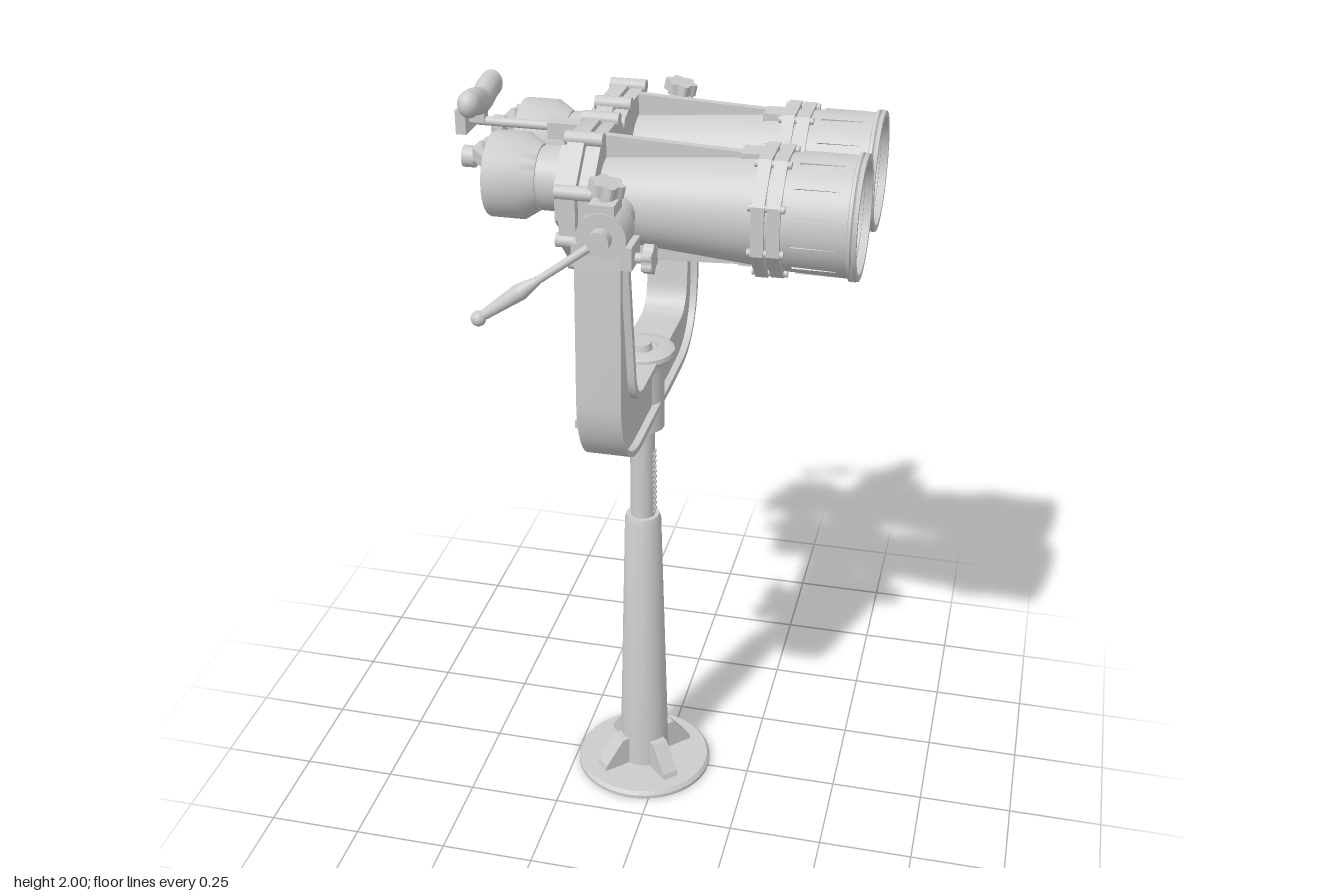
import * as THREE from 'three';
import { toCreasedNormals } from 'three/addons/utils/BufferGeometryUtils.js';

const mat = new THREE.MeshStandardMaterial({ color: 0xcccccc });
const CX = -0.055, AXIS_Y = 1.79, TRUN_X = -0.045;

function add(parent, name, geo, x = 0, y = 0, z = 0) {
  const m = new THREE.Mesh(geo, mat);
  m.name = name;
  m.position.set(x, y, z);
  parent.add(m);
  return m;
}
const box = (w, h, d) => new THREE.BoxGeometry(w, h, d);
const cyl = (r0, r1, h, n = 20) => new THREE.CylinderGeometry(r1, r0, h, n);
const cylX = (r, h, n = 20) => cyl(r, r, h, n).rotateZ(-Math.PI / 2);
const cylZ = (r, h, n = 20) => cyl(r, r, h, n).rotateX(Math.PI / 2);

// Turned part from [along, radius] pairs, standing up or lying along +x
function turned(pairs, n = 40) {
  const g = new THREE.LatheGeometry(pairs.map(([a, r]) => new THREE.Vector2(r, a)), n);
  return toCreasedNormals(g, 0.6);
}
const turnedX = (pairs, n) => turned(pairs, n).rotateZ(-Math.PI / 2);

// Shape drawn in the (z, y) plane, extruded from x0 to x1
function plateX(shape, x0, x1) {
  return toCreasedNormals(new THREE.ExtrudeGeometry(shape, { depth: x1 - x0, bevelEnabled: false, curveSegments: 12 })
    .rotateY(Math.PI / 2).translate(x0, 0, 0), 0.6);
}
const poly = (pts) => new THREE.Shape(pts.map(([a, b]) => new THREE.Vector2(a, b)));

// Rod between two points
function rod(parent, name, a, b, r0, r1) {
  const d = b.clone().sub(a);
  const m = add(parent, name, cyl(r0, r1, d.length(), 16));
  m.position.copy(a).addScaledVector(d, 0.5);
  m.quaternion.setFromUnitVectors(new THREE.Vector3(0, 1, 0), d.normalize());
  return m;
}

// Lobed hand knob, axis along y
function knobGeometry(r, h) {
  const s = new THREE.Shape();
  for (let i = 0; i <= 48; i++) {
    const a = (i / 48) * Math.PI * 2, q = r * (0.88 + 0.12 * Math.cos(6 * a));
    s[i ? 'lineTo' : 'moveTo'](q * Math.cos(a), q * Math.sin(a));
  }
  const g = new THREE.ExtrudeGeometry(s, { depth: h, bevelEnabled: false });
  return toCreasedNormals(g.translate(0, 0, -h / 2).rotateX(-Math.PI / 2), 0.7);
}

// Outline of the U-shaped fork, inset by d
function forkOutline(d, Type = THREE.Shape) {
  const s = new Type(), lo = 1.17 + d, hi = 1.32 - d, top = 1.745 - d;
  s.moveTo(-0.22, lo);
  s.lineTo(0.22, lo);
  s.bezierCurveTo(0.34, lo, 0.424 - d, 1.24, 0.424 - d, 1.38);
  s.lineTo(0.41 - d, top);
  s.lineTo(0.33 + d, top);
  s.lineTo(0.278 + d, 1.4);
  s.quadraticCurveTo(0.27 + d, hi, 0.2, hi);
  s.lineTo(-0.2, hi);
  s.quadraticCurveTo(-0.27 - d, hi, -0.278 - d, 1.4);
  s.lineTo(-0.33 - d, top);
  s.lineTo(-0.41 + d, top);
  s.lineTo(-0.424 + d, 1.38);
  s.bezierCurveTo(-0.424 + d, 1.24, -0.34, lo, -0.22, lo);
  return s;
}

function buildPedestal() {
  const g = new THREE.Group();
  g.name = 'pedestal';
  g.position.x = CX;
  add(g, 'basePlate', turned([[0, 0], [0, 0.19], [0.01, 0.19], [0.02, 0.182], [0.02, 0]], 48));
  add(g, 'column', turned([[0.02, 0.07], [0.82, 0.049], [0.835, 0.044], [0.835, 0]]));
  add(g, 'innerTube', cyl(0.033, 0.033, 0.32, 28), 0, 0.96);
  for (let i = 0; i < 12; i++) add(g, 'heightMark', box(0.006, 0.007, 0.026), 0.032, 0.85 + i * 0.016);
  // Diagonal gussets at the foot
  for (let i = 0; i < 4; i++) {
    const s = poly([[0.05, 0.018], [0.145, 0.018], [0.14, 0.035], [0.085, 0.105], [0.05, 0.105]]);
    const geo = new THREE.ExtrudeGeometry(s, { depth: 0.045, bevelEnabled: false }).translate(0, 0, -0.0225);
    add(g, 'gusset', geo).rotation.y = Math.PI / 4 + i * Math.PI / 2;
  }
  // Swivel collar with its cap and clamp bolt
  add(g, 'collar', turned([[1.105, 0.033], [1.105, 0.058], [1.3, 0.058], [1.305, 0.078], [1.315, 0.086],
    [1.327, 0.084], [1.333, 0.07], [1.333, 0.042], [1.325, 0.04], [1.325, 0]]));
  add(g, 'capBolt', cyl(0.028, 0.024, 0.02), 0, 1.333);
  for (const z of [0.03, -0.03]) add(g, 'clampEar', box(0.08, 0.055, 0.03), -0.09, 1.135, z);
  add(g, 'clampBolt', cylZ(0.014, 0.18), -0.105, 1.135, 0);
  add(g, 'clampArm', box(0.06, 0.022, 0.024), -0.125, 1.135, 0.083);
  add(g, 'clampKnob', knobGeometry(0.038, 0.032).rotateX(Math.PI / 2), -0.105 - 0.0, 1.135, 0.083).position.x = -0.107;
  return g;
}

function buildFork() {
  const g = new THREE.Group();
  g.name = 'fork';
  const rim = forkOutline(0);
  rim.holes.push(forkOutline(0.018, THREE.Path));
  add(g, 'forkRim', plateX(rim, -0.108, 0));
  add(g, 'forkWeb', plateX(forkOutline(0.017), -0.09, -0.018));
  // Trunnion clamps and tilt locks on both arms
  for (const s of [1, -1]) {
    const z = s * 0.37;
    add(g, 'clampBlock', box(0.14, 0.055, 0.08), TRUN_X, 1.745, z);
    add(g, 'clampCap', cylZ(0.058, 0.08, 28), TRUN_X, AXIS_Y, z);
    add(g, 'clampTop', box(0.06, 0.04, 0.07), TRUN_X, 1.845, z);
    add(g, 'capKnobStem', cyl(0.012, 0.012, 0.05), TRUN_X, 1.87, z);
    add(g, 'capKnob', knobGeometry(0.042, 0.028), TRUN_X + 0.005, 1.895, z).rotation.z = -0.2;
    add(g, 'sideKnobStem', cylX(0.012, 0.05), 0.03, 1.735, z);
    add(g, 'sideKnob', knobGeometry(0.036, 0.024).rotateZ(-Math.PI / 2), 0.056, 1.735, z);
    add(g, 'trunnion', cylZ(0.042, 0.18, 28), TRUN_X, AXIS_Y, s * 0.27);
    add(g, 'leverHub', cylZ(0.026, 0.04), TRUN_X, AXIS_Y, s * 0.42);
    const a = new THREE.Vector3(TRUN_X, AXIS_Y, s * 0.425), b = new THREE.Vector3(-0.315, 1.6, s * 0.482);
    const at = (t) => a.clone().lerp(b, t);
    rod(g, 'leverRod', a, at(0.55), 0.01, 0.009);
    rod(g, 'leverGrip', at(0.5), at(0.65), 0.01, 0.02);
    rod(g, 'leverGrip', at(0.65), at(0.95), 0.02, 0.012);
    add(g, 'leverBall', new THREE.SphereGeometry(0.018, 16, 12), b.x, b.y, b.z);
  }
  return g;
}

function buildBarrel(s) {
  const g = new THREE.Group();
  g.name = s > 0 ? 'nearBarrel' : 'farBarrel';
  g.position.set(0, AXIS_Y, s * 0.155);
  add(g, 'barrelCone', turnedX([[-0.11, 0.098], [0.28, 0.13]]));
  // Octagonal clamp collar in two layers
  const oct = (r) => poly([...Array(8)].map((_, i) => {
    const a = (i + 0.5) * Math.PI / 4, q = r / Math.cos(Math.PI / 8);
    return [q * Math.cos(a), q * Math.sin(a)];
  }));
  add(g, 'collarBack', plateX(oct(0.143), 0.27, 0.3));
  add(g, 'collarFront', plateX(oct(0.141), 0.306, 0.336));
  add(g, 'collarSeam', cylX(0.136, 0.03, 32), 0.3);
  for (let i = 0; i < 8; i++) {
    const a = (i + 0.5) * Math.PI / 4;
    add(g, 'collarBolt', cylX(0.009, 0.084, 10), 0.303, 0.141 * Math.sin(a), 0.141 * Math.cos(a));
  }
  // Objective hood with a recessed domed lens
  add(g, 'objectiveHood', turnedX([[0.33, 0.134], [0.345, 0.136], [0.485, 0.14], [0.487, 0.146], [0.494, 0.147],
    [0.497, 0.142], [0.5, 0.147], [0.508, 0.145], [0.508, 0.13], [0.49, 0.127], [0.49, 0.12], [0.465, 0.116],
    [0.465, 0.108], [0.44, 0.108], [0.45, 0.07], [0.454, 0.035], [0.455, 0]], 56));
  for (let i = 0; i < 12; i++) {
    const a = (i + 0.5) * Math.PI / 6;
    add(g, 'hoodRib', box(0.1, 0.005, 0.01), 0.41, 0.138 * Math.cos(a), 0.138 * Math.sin(a)).rotation.x = a;
  }
  // Stiffening ribs above and below
  for (const v of [1, -1]) {
    const pts = [[-0.1, 0.08], [0.28, 0.11], [0.28, 0.134], [-0.1, 0.152]].map(([x, y]) => [x, y * v]);
    const geo = new THREE.ExtrudeGeometry(poly(pts), { depth: 0.02, bevelEnabled: false });
    add(g, 'rib', geo, 0, 0, -0.01);
    add(g, 'ribFoot', box(0.055, 0.03, 0.06), 0.248, v * 0.122, -s * 0.012);
  }
  // Eyepiece
  const e = add(g, 'eyepiece', turnedX([[-0.385, 0], [-0.385, 0.1], [-0.38, 0.103], [-0.3, 0.103], [-0.262, 0.078],
    [-0.262, 0.074], [-0.256, 0.074], [-0.256, 0.078], [-0.2, 0.078]]));
  e.position.set(0, 0.022, -s * 0.03);
  // Folding eye guard behind the eyepiece
  const guard = poly([[-0.38, -0.085], [-0.43, -0.04], [-0.43, 0.015], [-0.38, 0.075]]);
  add(g, 'eyeGuard', new THREE.ExtrudeGeometry(guard, { depth: 0.03, bevelEnabled: false })
    .rotateX(Math.PI / 2), 0, 0.085, -s * 0.03);
  add(g, 'guardHinge', box(0.02, 0.08, 0.035), -0.394, 0.065, -s * 0.03);
  add(g, 'guardKnob', cylX(0.026, 0.03), -0.445, 0.055, -s * 0.04);
  return g;
}

function buildHousing() {
  const g = new THREE.Group();
  g.name = 'prismHousing';
  const outline = (k) => [[0.31, -0.06], [0.31, 0.06], [0.21, 0.158], [0.06, 0.158], [0, 0.13], [-0.06, 0.158],
    [-0.21, 0.158], [-0.31, 0.06], [-0.31, -0.06], [-0.21, -0.158], [-0.06, -0.158], [0, -0.13], [0.06, -0.158],
    [0.21, -0.158]].map(([z, y]) => [z * k, AXIS_Y + y * k]);
  add(g, 'rearFlange', plateX(poly(outline(1)), -0.172, -0.132));
  add(g, 'frontFlange', plateX(poly(outline(0.96)), -0.126, -0.095));
  add(g, 'flangeSeam', plateX(poly(outline(0.92)), -0.14, -0.11));
  add(g, 'eyepiecePlate', plateX(poly(outline(0.73)), -0.206, -0.17));
  outline(0.97).forEach(([z, y]) => add(g, 'flangeBolt', cylX(0.017, 0.09, 12), -0.135, y, z));
  add(g, 'collarBridge', box(0.06, 0.07, 0.05), 0.303, AXIS_Y, 0);
  // Headrest on its sliding rod
  add(g, 'headrestMount', box(0.08, 0.04, 0.045), -0.24, 1.89, 0);
  add(g, 'headrestRod', cylX(0.011, 0.25), -0.375, 1.895, 0);
  add(g, 'headrestBlock', box(0.026, 0.06, 0.085), -0.492, 1.9, 0);
  add(g, 'headrestPost', box(0.05, 0.05, 0.03), -0.465, 1.92, 0);
  const pad = new THREE.Group();
  pad.name = 'headrest';
  pad.position.x = -0.452;
  pad.scale.x = 0.85;
  g.add(pad);
  const P = [[1.962, -0.083], [1.958, -0.05], [1.946, 0], [1.958, 0.05], [1.962, 0.083]];
  const curve = new THREE.CatmullRomCurve3(P.map(([y, z]) => new THREE.Vector3(0, y, z)));
  add(pad, 'headrestPad', new THREE.TubeGeometry(curve, 24, 0.033, 20));
  for (const s of [1, -1]) add(pad, 'padEnd', new THREE.SphereGeometry(0.033, 20, 14), 0, 1.962, s * 0.083);
  return g;
}

export function createModel() {
  const model = new THREE.Group();
  model.name = 'pedestalBinoculars';
  model.add(buildPedestal(), buildFork(), buildBarrel(1), buildBarrel(-1), buildHousing());
  return model;
}
